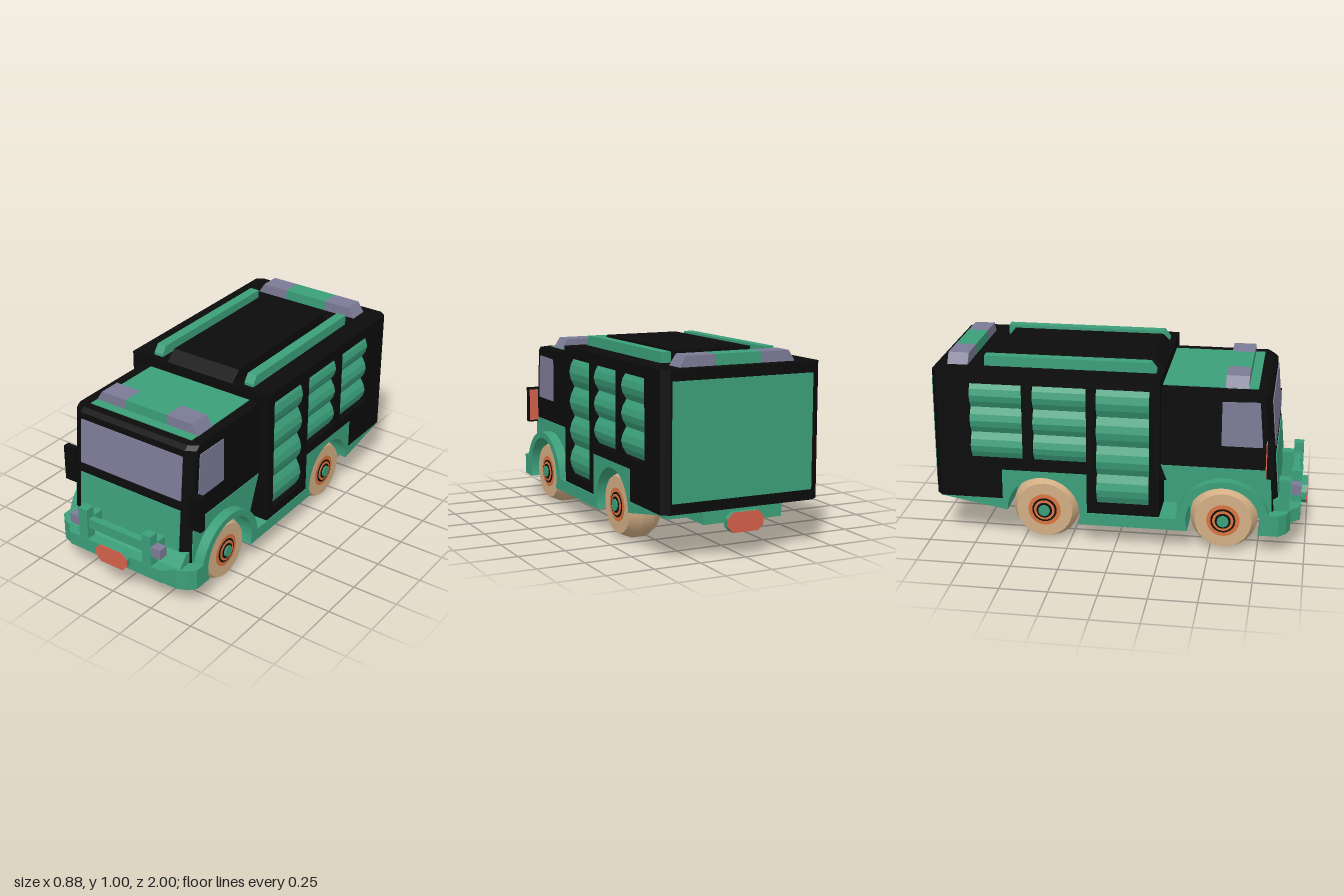
import * as THREE from 'three';
import { toCreasedNormals } from 'three/addons/utils/BufferGeometryUtils.js';

const paint = (name, color) => Object.assign(new THREE.MeshStandardMaterial({ color }), { name });

export function createModel() {
  const green = paint('green', 0x3b9f7a), black = paint('black', 0x0b0b0b);
  const glass = paint('greyPurple', 0x7c7b96), red = paint('red', 0xd4604a);
  const orange = paint('orange', 0xd8733f), tan = paint('tan', 0xd2ae84);
  const model = new THREE.Group();
  model.name = 'fireTruck';

  const add = (name, geo, mat, parent = model) => {
    const mesh = new THREE.Mesh(geo, mat);
    mesh.name = name;
    parent.add(mesh);
    return mesh;
  };
  const poly = (pts) => new THREE.Shape(pts.map(([a, b]) => new THREE.Vector2(a, b)));
  const extrude = (shape, depth) =>
    new THREE.ExtrudeGeometry(shape, { depth, bevelEnabled: false, curveSegments: 24 });
  // profile in (z, y), swept from x0 to x1
  const side = (shape, x0, x1) => extrude(shape, x1 - x0).rotateY(-Math.PI / 2).translate(x1, 0, 0);
  // outline in (x, z), swept from y0 to y1
  const plan = (pts, y0, y1) =>
    extrude(poly(pts.map(([x, z]) => [x, -z])), y1 - y0).rotateX(-Math.PI / 2).translate(0, y0, 0);
  // outline in (x, y), swept from z0 to z1
  const front = (pts, z0, z1) => extrude(poly(pts), z1 - z0).translate(0, 0, z0);
  const box = (x0, x1, y0, y1, z0, z1) =>
    new THREE.BoxGeometry(x1 - x0, y1 - y0, z1 - z0).translate((x0 + x1) / 2, (y0 + y1) / 2, (z0 + z1) / 2);
  // the same profile on both sides
  const bothSides = (name, shape, x0, x1, mat, edit = (g) => g) => {
    add(name + 'Left', edit(side(shape, x0, x1)), mat);
    add(name + 'Right', edit(side(shape, -x1, -x0)), mat);
  };
  // push outer vertices along z to bevel a vertical corner
  const bevel = (outer, test, dz) => (geo) => {
    const p = geo.attributes.position;
    for (let i = 0; i < p.count; i++)
      if (Math.abs(p.getX(i)) > outer && test(p.getZ(i))) p.setZ(i, p.getZ(i) + dz);
    geo.computeVertexNormals();
    return geo;
  };
  const rearBevel = bevel(0.43, (z) => z < -0.96, 0.03);

  // chassis sides with wheel arches and front fenders
  const FZ = 0.57, RZ = -0.385, WY = 0.18, AR = 0.195;
  const a = Math.asin(0.06 / AR);
  const lower = new THREE.Shape();
  lower.moveTo(-0.97, 0.18);
  lower.absarc(RZ, WY, AR, Math.PI, -a, true);
  lower.absarc(FZ, WY, AR, Math.PI + a, -a, true);
  lower.lineTo(0.82, 0.12);
  lower.absarc(FZ, 0.16, 0.25, 0, Math.PI - 0.1, false);
  [[0.32, 0.185], [-0.15, 0.185], [-0.15, 0.41], [-0.605, 0.41], [-0.605, 0.245], [-0.97, 0.245]]
    .forEach(([z, y]) => lower.lineTo(z, y));
  bothSides('chassisSide', lower, 0.22, 0.44, green, rearBevel);
  add('chassisCore', box(-0.22, 0.22, 0.12, 0.41, -0.575, 0.84), green);
  add('chassisTail', box(-0.22, 0.22, 0.18, 0.245, -0.97, -0.57), green);

  // rear body: narrow core and side frames with locker openings
  const outline = [[-0.97, 0.245], [-0.605, 0.245], [-0.605, 0.41], [-0.15, 0.41], [-0.15, 0.19],
    [0.235, 0.19], [0.235, 0.945], [-0.97, 0.945]];
  add('bodyCore', side(poly(outline), -0.4, 0.4), black);
  const frame = poly(outline);
  const lockers = [[-0.1, 0.18, 0.24, 4], [-0.435, -0.15, 0.465, 3], [-0.77, -0.49, 0.465, 3]];
  const TOP = 0.885;
  lockers.forEach(([z0, z1, y0]) =>
    frame.holes.push(new THREE.Path(poly([[z0, y0], [z0, TOP], [z1, TOP], [z1, y0]]).getPoints())));
  bothSides('bodyFrame', frame, 0.4, 0.44, black, rearBevel);

  // bulging shutter slats, one mesh reaching both sides
  lockers.forEach(([z0, z1, y0, n], k) => {
    const right = [], steps = n * 4, h = TOP - y0;
    for (let i = 0; i <= steps; i++)
      right.push([0.405 + 0.03 * Math.sin(((i % 4) / 4) * Math.PI), y0 + (h * i) / steps]);
    const left = right.map(([x, y]) => [-x, y]).reverse();
    add('shutter' + (k + 1), front([...right, ...left], z0, z1), green);
  });
  add('rearDoor', box(-0.39, 0.39, 0.3, 0.89, -0.976, -0.968), green);

  // roof deck and rails
  add('roofDeck', side(poly([[-0.66, 0.94], [0.235, 0.94], [0.17, 1], [-0.66, 1]]), -0.21, 0.21), black);
  bothSides('roofRail', poly([[-0.71, 0.94], [0.2, 0.94], [0.2, 0.96], [0.17, 1], [-0.71, 1]]), 0.265, 0.32, green);

  // cab with sloping front and bevelled corners
  const slope = (y) => 0.855 - (y - 0.24) * 0.087;
  const cab = poly([[0.235, 0.38], [0.78, 0.38], [0.78, 0.235], [slope(0.235), 0.235],
    [slope(0.865), 0.865], [0.775, 0.885], [0.235, 0.885]]);
  add('cab', side(cab, -0.33, 0.33), black);
  bothSides('cabCorner', cab, 0.33, 0.38, black, bevel(0.37, (z) => z > 0.77 && z < 0.9, -0.03));
  add('cabRoofPanel', box(-0.32, 0.32, 0.88, 0.889, 0.235, 0.73), green);
  const cabSide = new THREE.Shape();
  cabSide.moveTo(0.235, 0.18);
  cabSide.absarc(FZ, WY, 0.225, Math.PI, 0, true);
  [[0.82, 0.18], [0.82, 0.3], [0.806, 0.465], [0.235, 0.465]].forEach(([z, y]) => cabSide.lineTo(z, y));
  bothSides('cabLowerPanel', cabSide, 0.375, 0.384, green);
  bothSides('sideWindow', poly([[0.55, 0.59], [0.765, 0.59], [0.745, 0.83], [0.735, 0.835], [0.55, 0.83]]),
    0.378, 0.385, glass);
  const facePlate = (name, y0, y1, mat) => add(name, side(poly([[slope(y0) - 0.002, y0],
    [slope(y0) + 0.005, y0], [slope(y1) + 0.005, y1], [slope(y1) - 0.002, y1]]), -0.322, 0.322), mat);
  facePlate('windscreen', 0.585, 0.83, glass);
  facePlate('grillePanel', 0.3, 0.53, green);

  // light bars
  [['front', 0.885, 0.56, 0.68], ['rear', 0.943, -0.91, -0.8]].forEach(([n, y, z0, z1]) => {
    const t = y + 0.058;
    add(n + 'LightBarCentre', box(-0.13, 0.13, y, t, z0, z1), green);
    add(n + 'LightBarLeft', front([[0.13, y], [0.322, y], [0.285, t], [0.13, t]], z0, z1), glass);
    add(n + 'LightBarRight', front([[-0.322, y], [-0.13, y], [-0.13, t], [-0.285, t]], z0, z1), glass);
  });

  // front bumper, lip and sloping ledge
  add('bumper', plan([[-0.44, 0.77], [-0.44, 0.86], [-0.4, 0.9], [-0.35, 0.92], [0.35, 0.92], [0.4, 0.9],
    [0.44, 0.86], [0.44, 0.77]], 0.12, 0.235), green);
  add('bumperLip', plan([[-0.355, 0.91], [-0.3, 0.97], [0.3, 0.97], [0.355, 0.91]], 0.163, 0.238), green);
  add('bumperLedge', side(poly([[0.82, 0.23], [0.915, 0.23], [0.855, 0.298], [0.82, 0.298]]), -0.37, 0.37), green);

  // bull bar, headlights and mirrors
  add('bullBar', box(-0.235, 0.235, 0.3, 0.355, 0.92, 0.955), green);
  for (const s of [-1, 1]) {
    const part = (name, x0, x1, y0, y1, z0, z1, mat) =>
      add(name, box(Math.min(s * x0, s * x1), Math.max(s * x0, s * x1), y0, y1, z0, z1), mat);
    part('bullBarPost', 0.178, 0.235, 0.235, 0.412, 0.915, 0.968, green);
    part('bullBarBracket', 0.178, 0.235, 0.3, 0.355, 0.84, 0.92, green);
    part('headlight', 0.235, 0.293, 0.3, 0.355, 0.915, 0.968, glass);
    part('mirror', 0.37, 0.44, 0.44, 0.64, 0.79, 0.825, black);
    part('mirrorGlass', 0.385, 0.435, 0.45, 0.63, 0.784, 0.791, red);
  }

  // octagonal plates at both ends
  const octagon = (y0, y1, c = 0.03) => [[-0.1, y0 + c], [-0.1 + c, y0], [0.1 - c, y0], [0.1, y0 + c],
    [0.1, y1 - c], [0.1 - c, y1], [-0.1 + c, y1], [-0.1, y1 - c]];
  add('frontPlateMount', front(octagon(0.163, 0.265), 0.95, 0.996), green);
  add('frontPlate', front(octagon(0.163, 0.265), 0.996, 1), red);
  add('rearPlateMount', front(octagon(0.13, 0.232), -0.996, -0.96), green);
  add('rearPlate', front(octagon(0.13, 0.232), -1, -0.996), red);

  // wheels with stepped hub rings
  const tyre = [[0, 0.235], [0.15, 0.235], [0.178, 0.28], [0.178, 0.345], [0.15, 0.41], [0, 0.41]];
  const rings = [[0.088, 0.412, orange], [0.066, 0.415, black], [0.056, 0.418, orange],
    [0.042, 0.421, black], [0.031, 0.428, green]];
  for (const z of [FZ, RZ]) for (const turn of [0, Math.PI]) {
    const wheel = new THREE.Group();
    wheel.name = 'wheel';
    wheel.position.set(0, 0.18, z);
    wheel.rotation.y = turn;
    const lathe = new THREE.LatheGeometry(tyre.map(([r, x]) => new THREE.Vector2(r, x)), 32);
    add('tyre', toCreasedNormals(lathe.rotateZ(-Math.PI / 2), 0.4), tan, wheel);
    rings.forEach(([r, x, mat]) => add('hubRing',
      new THREE.CylinderGeometry(r, r, 0.04, 28).rotateZ(-Math.PI / 2).translate(x - 0.02, 0, 0), mat, wheel));
    model.add(wheel);
  }
  return model;
}
